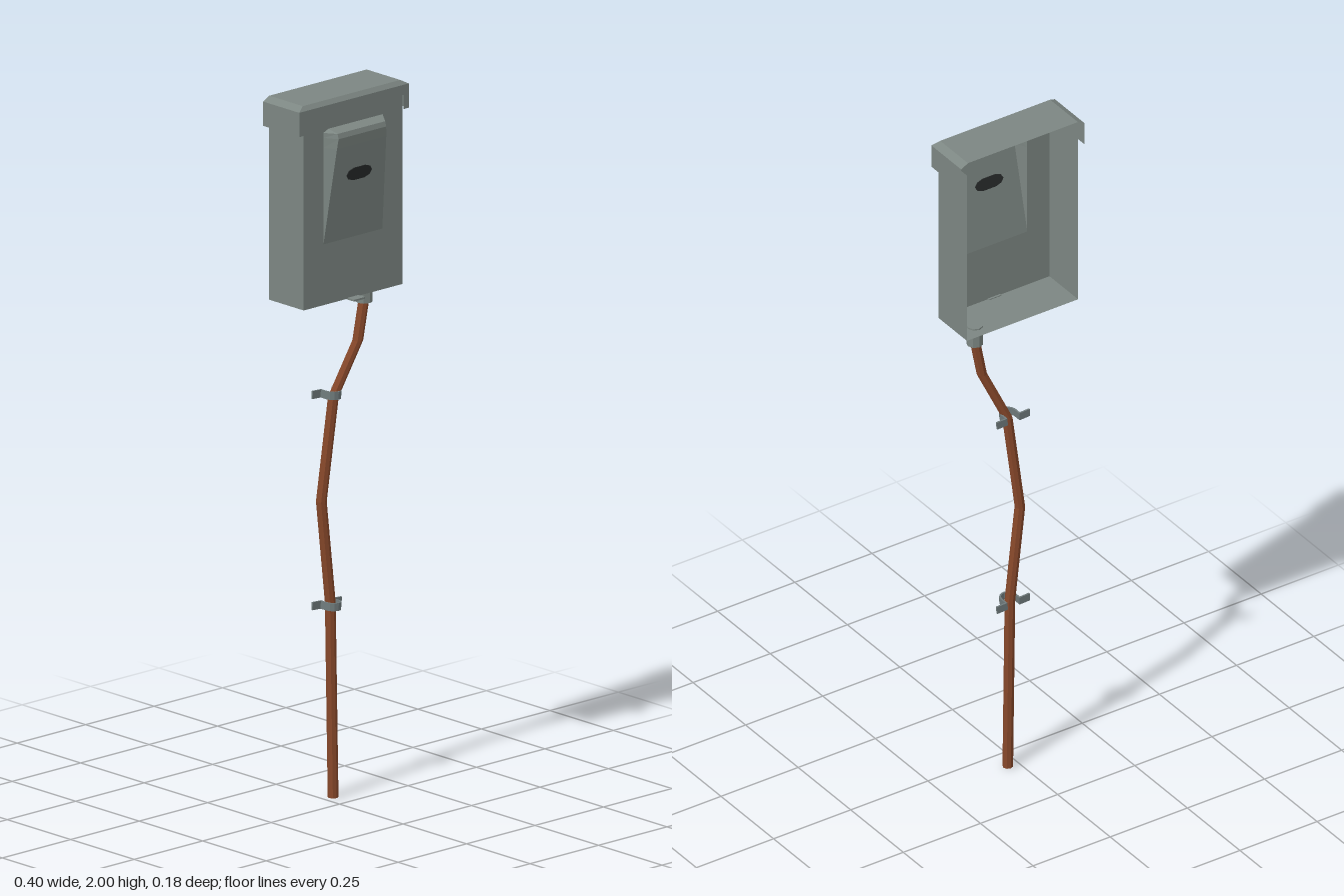
import * as THREE from 'three';

const D = THREE.DoubleSide;
const steel = new THREE.MeshStandardMaterial({ color: 0x7c8682, side: D });
steel.name = 'grey steel';
const clampMetal = new THREE.MeshStandardMaterial({ color: 0x6f7a7b, side: D });
clampMetal.name = 'clamp metal';
const rust = new THREE.MeshStandardMaterial({ color: 0x87482a });
rust.name = 'brown pipe';
const dark = new THREE.MeshStandardMaterial({ color: 0x272a2a, side: D });
dark.name = 'dark badge';

function add(parent, name, geometry, material, x = 0, y = 0, z = 0) {
  const mesh = new THREE.Mesh(geometry, material);
  mesh.name = name;
  mesh.position.set(x, y, z);
  parent.add(mesh);
  return mesh;
}

// Flat-shaded sheet made from four-cornered faces
function sheet(quads) {
  const p = [];
  for (const [a, b, c, d] of quads) p.push(...a, ...b, ...c, ...a, ...c, ...d);
  const g = new THREE.BufferGeometry();
  g.setAttribute('position', new THREE.Float32BufferAttribute(p, 3));
  g.computeVertexNormals();
  return g;
}

// Quads between successive rows of points
function loft(rows) {
  const quads = [];
  for (let i = 0; i < rows.length - 1; i++)
    for (let j = 0; j < rows[i].length - 1; j++)
      quads.push([rows[i][j], rows[i][j + 1], rows[i + 1][j + 1], rows[i + 1][j]]);
  return quads;
}

const shapeOf = (pts) => new THREE.Shape(pts.map(([x, y]) => new THREE.Vector2(x, y)));

function makeBox() {
  const box = new THREE.Group();
  box.name = 'meterBox';
  const w = 0.18, bottom = 1.43, top = 1.96, front = 0.053, back = -0.083;

  // Open-backed tray: two sides and a floor
  add(box, 'boxSidesAndFloor', sheet([
    [[-w, bottom, back], [-w, bottom, front], [-w, top, front], [-w, top, back]],
    [[w, bottom, front], [w, bottom, back], [w, top, back], [w, top, front]],
    [[-w, bottom, back], [w, bottom, back], [w, bottom, front], [-w, bottom, front]],
  ]), steel);

  // Door with an opening behind the raised cover
  const b = 0.108, y0 = 1.6, y1 = 1.92;
  const door = shapeOf([[-w, bottom], [w, bottom], [w, top], [-w, top]]);
  door.holes.push(shapeOf([[-b, y0], [-b, y1], [b, y1], [b, y0]]));
  add(box, 'door', new THREE.ShapeGeometry(door), steel, 0, 0, front);

  // Wedge-shaped raised cover: height, half width of face, depth
  const rows = [[y0, 0.107, front], [1.87, 0.09, 0.087], [1.898, 0.087, 0.09],
    [1.912, 0.087, 0.086], [y1, 0.09, front]];
  add(box, 'raisedCover', sheet(loft(rows.map(([y, h, z]) =>
    [[-b, y, front], [-h, y, z], [h, y, z], [b, y, front]]))), steel);

  // Plain badge, following the slope of the cover
  const badge = shapeOf([[-0.046, 0], [-0.038, -0.012], [-0.02, -0.018], [0.02, -0.018],
    [0.038, -0.012], [0.046, 0], [0.038, 0.012], [0.02, 0.018], [-0.02, 0.018], [-0.038, 0.012]]);
  const plate = add(box, 'badge',
    new THREE.ExtrudeGeometry(badge, { depth: 0.004, bevelEnabled: false }), dark, 0, 1.785, 0.0743);
  plate.rotation.x = Math.atan2(0.034, 0.27);

  // Small latch tab below the door
  add(box, 'latchTab', new THREE.BoxGeometry(0.04, 0.005, 0.032), steel, 0, 1.43, 0.063);
  return box;
}

function makeCap() {
  const cap = new THREE.Group();
  cap.name = 'rainCap';
  const w = 0.2, i = 0.178, low = 1.92, edge = 1.988, top = 2, f = 0.057, fi = 0.047, back = -0.085;

  // Side walls, chamfers and top
  const section = (z, zt) => [[-w, low, z], [-w, edge, z], [-i, top, zt], [i, top, zt], [w, edge, z], [w, low, z]];
  add(cap, 'capTop', sheet([
    ...loft([section(f, fi), section(back, back)]),
    [[-w, edge, f], [w, edge, f], [i, top, fi], [-i, top, fi]],
  ]), steel);

  // Front lip with a corner piece at each end
  add(cap, 'capLip', new THREE.ShapeGeometry(shapeOf([[-w, low], [-0.18, low], [-0.18, 1.96],
    [0.18, 1.96], [0.18, low], [w, low], [w, edge], [-w, edge]])), steel, 0, 0, f);
  return cap;
}

// Bent pipe lofted through level rings
function makePipe() {
  const path = [[0.032, 0, -0.06], [0.034, 0.54, -0.073], [0.003, 0.83, -0.075],
    [0.035, 1.12, -0.062], [0.1, 1.27, -0.036], [0.122, 1.385, -0.035]];
  const sides = 8, r = 0.0145;
  const ring = ([x, y, z], radius) => Array.from({ length: sides + 1 }, (_, k) => {
    const a = (k / sides) * Math.PI * 2;
    return [x + Math.sin(a) * radius, y, z + Math.cos(a) * radius];
  });
  const rows = path.map((p) => ring(p, r));
  rows.unshift(ring(path[0], 0.0001));
  return sheet(loft(rows));
}

// Wall strap: two flat feet joined by an arch over the pipe
function makeStrap() {
  const outer = [[-0.053, -0.026], [-0.053, -0.021], [-0.024, -0.021]];
  const inner = [[0.019, -0.026]];
  const steps = 6;
  for (let k = 0; k <= steps; k++) {
    const a = Math.PI * (1 - k / steps);
    outer.push([Math.cos(a) * 0.024, Math.sin(a) * 0.024]);
    inner.push([-Math.cos(a) * 0.019, Math.sin(a) * 0.019]);
  }
  outer.push([0.024, -0.021], [0.053, -0.021], [0.053, -0.026]);
  const g = new THREE.ExtrudeGeometry(shapeOf([...outer, ...inner, [-0.019, -0.026]]),
    { depth: 0.022, bevelEnabled: false });
  return g.rotateX(Math.PI / 2).translate(0, 0.011, 0);
}

export function createModel() {
  const model = new THREE.Group();
  model.name = 'wallMeterBox';
  model.add(makeBox(), makeCap());

  // Fitting under the box
  const fitting = new THREE.CylinderGeometry(0.023, 0.023, 0.06, 8).toNonIndexed();
  fitting.computeVertexNormals();
  add(model, 'pipeFitting', fitting, steel, 0.122, 1.404, -0.035);

  add(model, 'pipe', makePipe(), rust);
  for (const y of [1.127, 0.536]) {
    add(model, 'pipeStrap', makeStrap(), clampMetal, 0.033, y, -0.063).rotation.z = -0.05;
  }
  return model;
}
